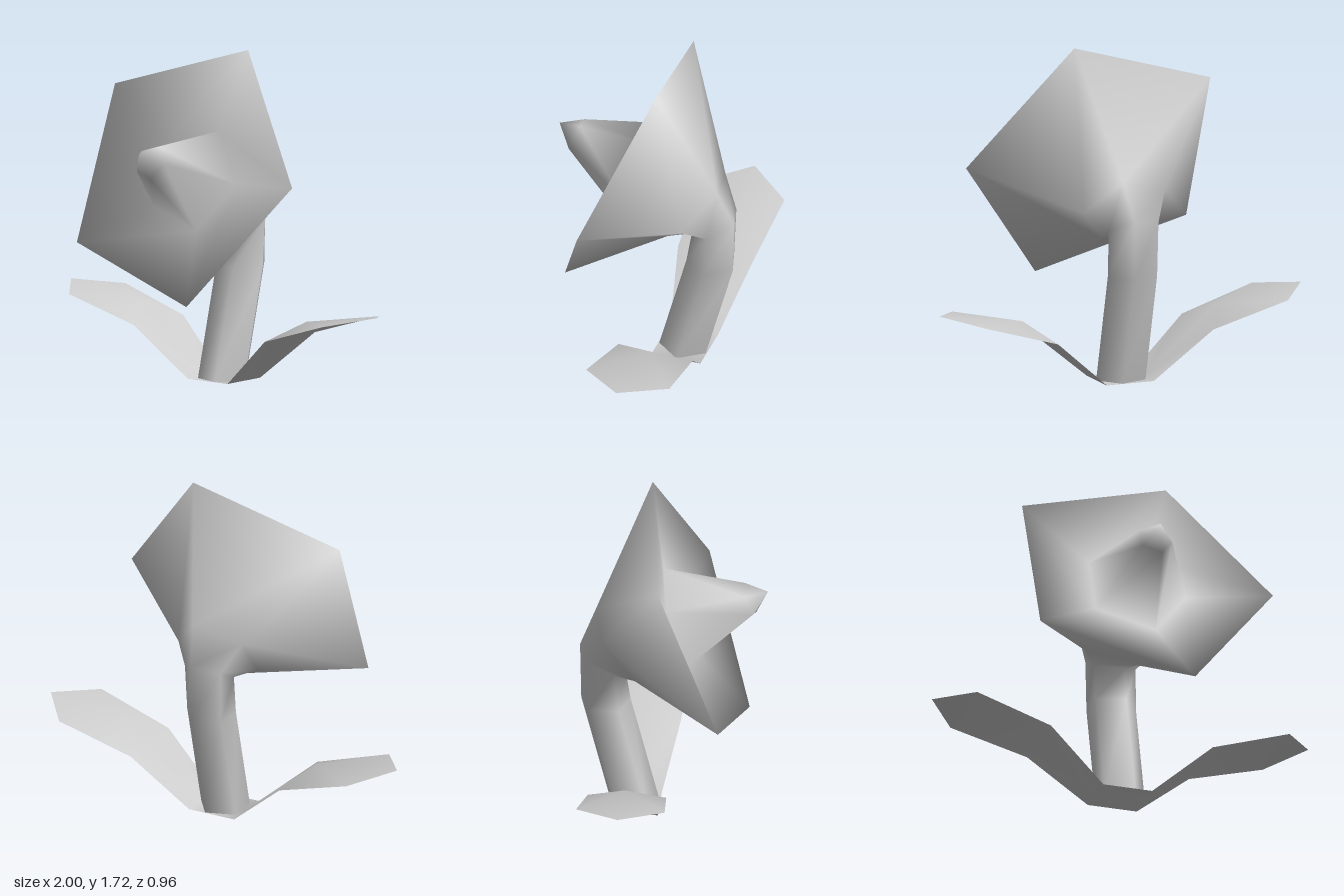
import * as THREE from 'three';
import { mergeVertices } from 'three/addons/utils/BufferGeometryUtils.js';

const SIDES = 5;

function smoothGeometry(points, index) {
  let geometry = new THREE.BufferGeometry();
  geometry.setAttribute('position', new THREE.Float32BufferAttribute(points, 3));
  geometry.setIndex(index);
  geometry = mergeVertices(geometry, 1e-4);
  geometry.computeVertexNormals();
  return geometry;
}

// Joins five-sided rings; each ring is [y, z, radius, tilt in degrees] in the x = 0 plane
function loft(rings) {
  const points = [], index = [];
  rings.forEach(([y, z, r, tilt], k) => {
    const t = THREE.MathUtils.degToRad(tilt);
    for (let i = 0; i < SIDES; i++) {
      const a = (i / SIDES) * Math.PI * 2;
      const v = r * Math.sin(a);
      points.push(r * Math.cos(a), y + v * Math.sin(t), z - v * Math.cos(t));
      if (k === rings.length - 1) continue;
      const j = (i + 1) % SIDES;
      const p = k * SIDES + i, q = k * SIDES + j;
      index.push(p, q, q + SIDES);
      if (rings[k + 1][2] > 0) index.push(p, q + SIDES, p + SIDES);
    }
  });
  return smoothGeometry(points, index);
}

// One leaf strip: joined at the base, folded along a raised spine on each side
function leafGeometry() {
  const points = [], index = [];
  const z0 = -0.2;
  for (const s of [1, -1]) {
    const o = points.length / 3;
    const add = (x, y, dz) => points.push(s * x, y, z0 + dz);
    const face = (a, b, c) => (s > 0 ? index.push(o + a, o + b, o + c) : index.push(o + a, o + c, o + b));
    add(0.13, 0, 0.13);       // 0 base front
    add(0.13, 0, -0.13);      // 1 base back
    add(0.43, 0.255, 0.2);    // 2 middle front
    add(0.43, 0.255, -0.2);   // 3 middle back
    add(0.54, 0.345, 0);      // 4 spine
    add(0.83, 0.375, 0.225);  // 5 outer front
    add(0.83, 0.375, -0.225); // 6 outer back
    add(1, 0.41, 0);          // 7 tip
    add(0.13, 0, 0);          // 8 base middle
    face(0, 2, 8);
    face(8, 2, 4);
    face(8, 4, 3);
    face(8, 3, 1);
    face(2, 5, 4);
    face(4, 5, 7);
    face(4, 7, 6);
    face(4, 6, 3);
  }
  // Flat piece under the stem
  index.push(0, 8, 17, 0, 17, 9, 8, 1, 10, 8, 10, 17);
  return smoothGeometry(points, index);
}

export function createModel() {
  const grey = new THREE.MeshStandardMaterial({ color: 0xcccccc, side: THREE.DoubleSide });
  grey.name = 'plain grey';
  const model = new THREE.Group();
  model.name = 'flower';

  // Stem, cup and pistil form one continuous smooth skin
  const blossom = new THREE.Mesh(loft([
    [0, -0.2, 0.132, 0],        // stem foot
    [0.57, -0.347, 0.132, 0],   // stem bend
    [0.81, -0.365, 0.135, 27.5],// stem neck
    [0.89, -0.265, 0.228, 51.5],// back of cup
    [1.087, 0.122, 0.71, 68.6], // petal rim
    [1.05, 0.035, 0.275, 69.5], // foot of pistil
    [1.18, 0.39, 0.09, 69.5],   // head of pistil
    [1.23, 0.48, 0, 69.5],      // pistil tip
  ]), grey);
  blossom.name = 'stemAndBlossom';

  const leaves = new THREE.Mesh(leafGeometry(), grey);
  leaves.name = 'leaves';

  model.add(blossom, leaves);
  return model;
}
